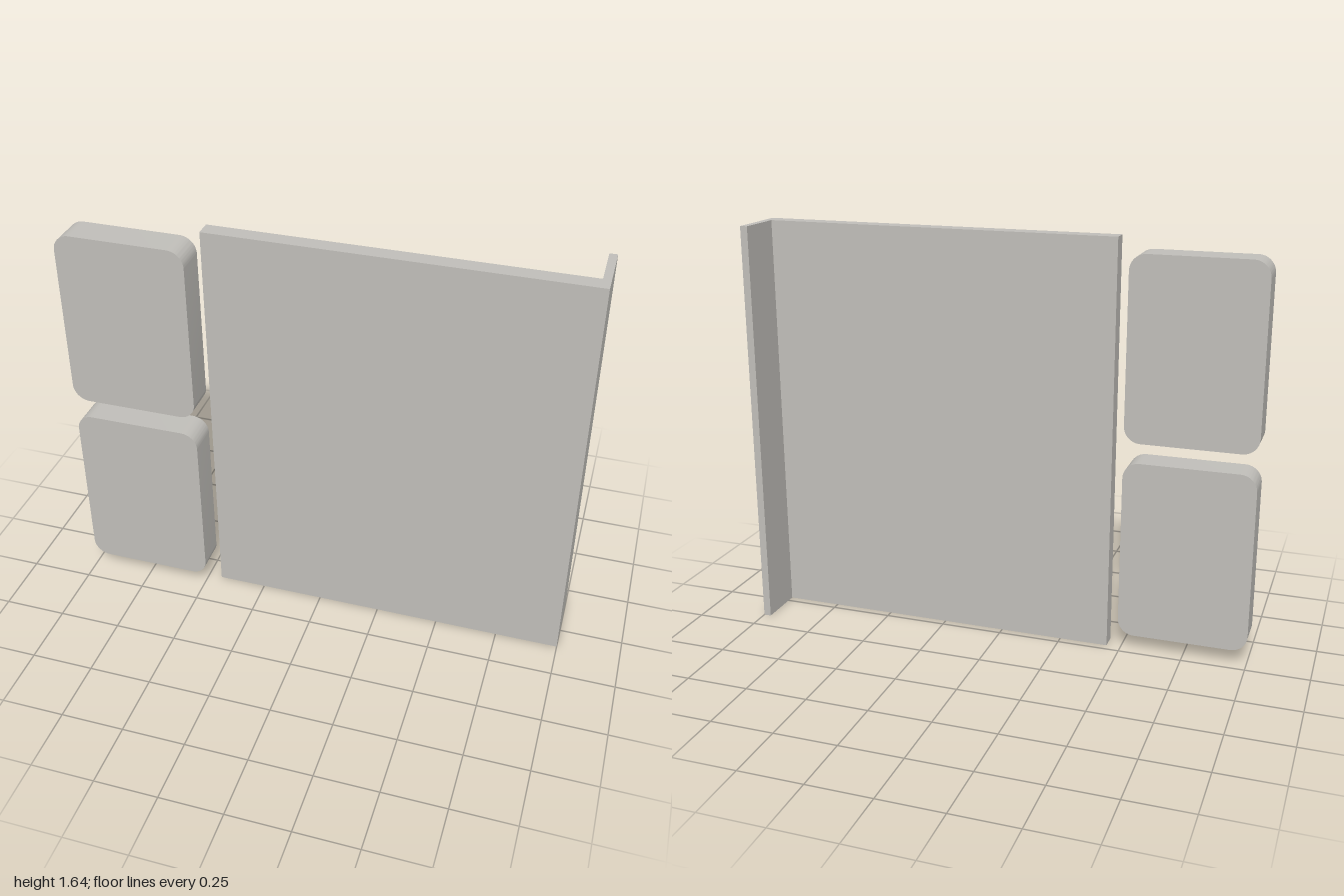
import * as THREE from 'three';
import { toCreasedNormals } from 'three/addons/utils/BufferGeometryUtils.js';

const HEIGHT = 1.64;

// Rectangle with rounded corners, given by its bounds
function roundedRect(x0, y0, x1, y1, r) {
  const s = new THREE.Shape();
  s.absarc(x1 - r, y0 + r, r, -Math.PI / 2, 0);
  s.absarc(x1 - r, y1 - r, r, 0, Math.PI / 2);
  s.absarc(x0 + r, y1 - r, r, Math.PI / 2, Math.PI);
  s.absarc(x0 + r, y0 + r, r, Math.PI, Math.PI * 1.5);
  s.closePath();
  return s;
}

export function createModel() {
  const group = new THREE.Group();
  const grey = new THREE.MeshStandardMaterial({ color: 0xc0beb9 });
  grey.name = 'warm grey';

  const add = (name, geometry) => {
    const mesh = new THREE.Mesh(geometry, grey);
    mesh.name = name;
    group.add(mesh);
    return mesh;
  };

  // Main panel with its return flange: one L-shaped section, extruded upwards
  const section = new THREE.Shape([
    [-0.444, -0.097], [1, -0.097], [1, 0.16], [0.97, 0.16], [0.97, -0.032], [-0.444, -0.032],
  ].map(([x, y]) => new THREE.Vector2(x, y)));
  const panel = add('panelWithFlange',
    new THREE.ExtrudeGeometry(section, { depth: HEIGHT, bevelEnabled: false }));
  panel.rotation.x = -Math.PI / 2;

  // Two rounded pads stacked beside the panel
  [['lowerPad', 0.06], ['upperPad', 0.861]].forEach(([name, y]) => {
    const pad = new THREE.ExtrudeGeometry(
      roundedRect(-1, y, -0.487, y + 0.722, 0.065),
      { depth: 0.128, bevelEnabled: false, curveSegments: 10 });
    add(name, toCreasedNormals(pad, 0.5)).position.z = 0.032;
  });

  return group;
}
